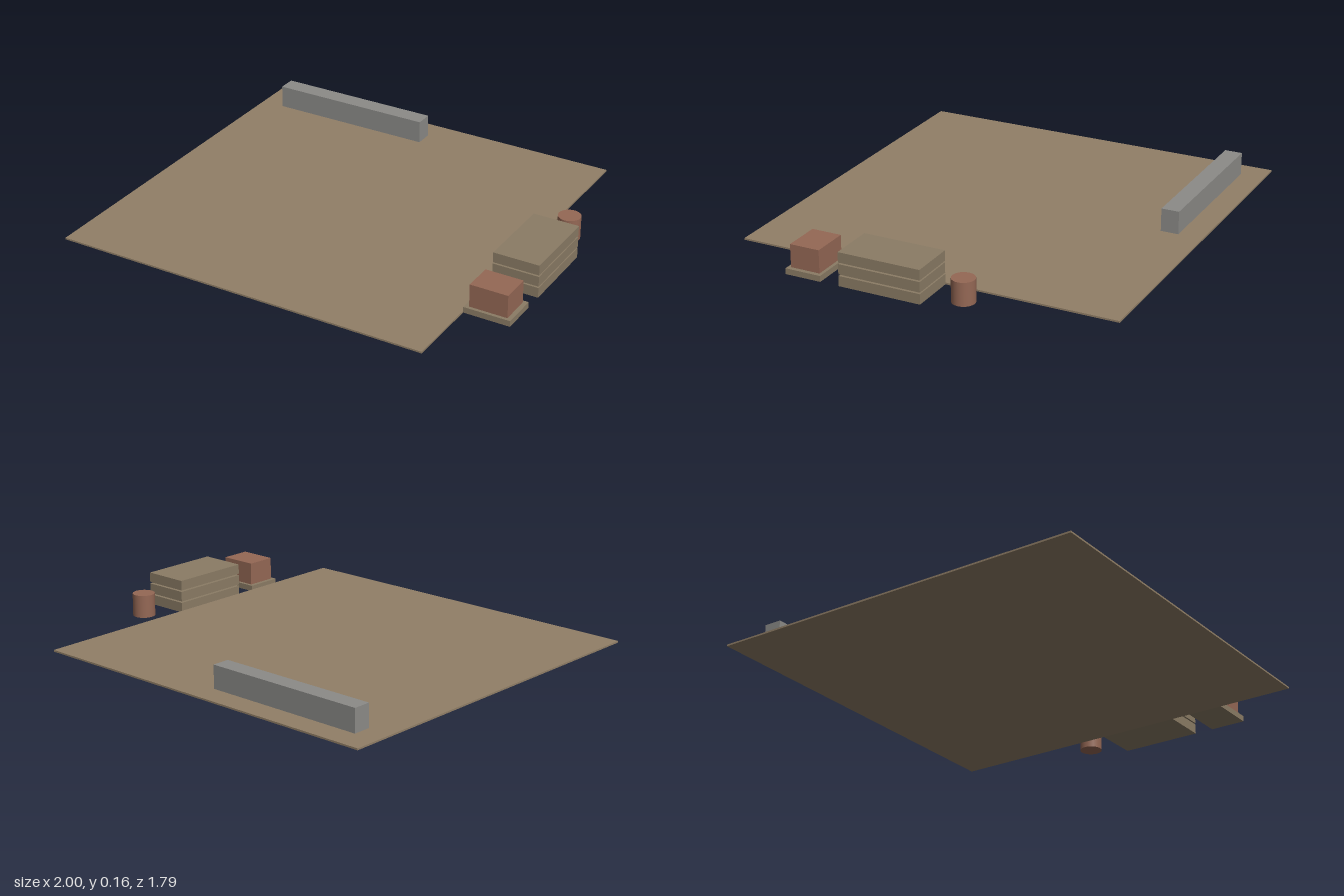
import * as THREE from 'three';

const material = (name, color) => Object.assign(new THREE.MeshStandardMaterial({ color }), { name });

export function createModel() {
  const group = new THREE.Group();
  const earth = material('earth', 0x917f67);
  const wood = material('wood', 0x8b7c65);
  const concrete = material('concrete', 0x8c8b88);
  const rust = material('rust', 0x956855);

  // Box given by its minimum and maximum corners
  const box = (name, mat, [x0, y0, z0], [x1, y1, z1], parent = group) => {
    const mesh = new THREE.Mesh(new THREE.BoxGeometry(x1 - x0, y1 - y0, z1 - z0), mat);
    mesh.position.set((x0 + x1) / 2, (y0 + y1) / 2, (z0 + z1) / 2);
    mesh.name = name;
    parent.add(mesh);
    return mesh;
  };

  // Flat yard and the low wall near its back edge
  box('ground', earth, [-1, 0, -0.893], [0.785, 0.008, 0.893]);
  box('lowWall', concrete, [-0.888, 0.008, -0.78], [-0.107, 0.115, -0.697]);

  // Stack of three boards with narrow gaps
  const stack = new THREE.Group();
  stack.name = 'boardStack';
  for (let i = 0; i < 3; i++) {
    const y = i * 0.054;
    box('board' + (i + 1), wood, [0.785, y, -0.105], [1, y + 0.047, 0.28], stack);
  }
  group.add(stack);

  // Crate standing on a thin base
  box('crateBase', wood, [0.785, 0, 0.37], [1, 0.027, 0.54]);
  box('crate', rust, [0.804, 0.027, 0.385], [0.98, 0.133, 0.525]);

  // Barrel
  const barrel = new THREE.Mesh(new THREE.CylinderGeometry(0.052, 0.052, 0.107, 24), rust);
  barrel.position.set(0.892, 0.0535, -0.248);
  barrel.name = 'barrel';
  group.add(barrel);

  return group;
}
